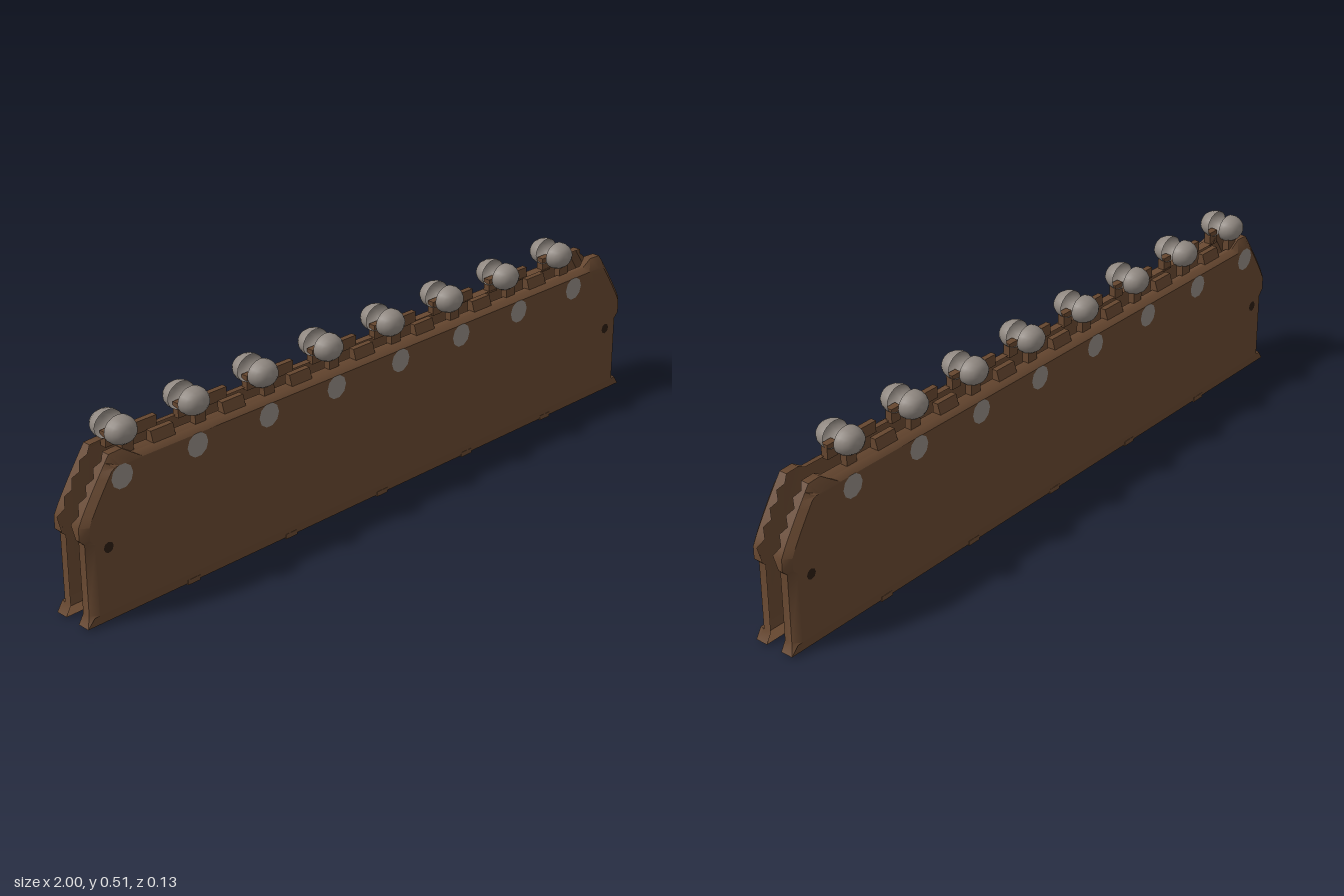
import * as THREE from 'three';
import { toCreasedNormals } from 'three/addons/utils/BufferGeometryUtils.js';

const mat = (name, color) =>
  new THREE.MeshStandardMaterial({ name, color, side: THREE.DoubleSide });

// Outline of one panel, counterclockwise, with stepped sloping shoulders
function panelOutline() {
  const right = [[1, 0.004], [0.985, 0.03], [0.985, 0.225], [1, 0.24], [1, 0.275]];
  const steps = 8;
  for (let i = 1; i <= steps; i++) {
    const t = i / steps;
    right.push([1 - 0.1 * t, 0.275 + 0.16 * Math.pow(t, 0.9)]);
  }
  right.push([0.86, 0.437], [0.83, 0.418]);
  return right.concat(right.map(([x, y]) => [-x, y]).reverse());
}

// Open shell: flat face, bevelled edge and a rim folded inward with a ragged lip
function shellGeometry() {
  const outline = panelOutline();
  const n = outline.length;
  const face = outline.map(([x, y]) =>
    [x - Math.sign(x) * 0.02, THREE.MathUtils.clamp(y, 0.03, 0.405), 0.063]);
  const edge = outline.map(([x, y]) => [x, y, y < 0.01 ? 0.06 : 0.047]);
  const lip = outline.map(([x, y], i) =>
    [x, y, y > 0.23 && y < 0.43 ? (i % 2 ? 0.018 : 0.034) : 0.024]);
  const pos = [];
  const join = (a, b) => {
    for (let i = 0; i < n; i++) {
      const j = (i + 1) % n;
      pos.push(...a[i], ...b[i], ...b[j], ...a[i], ...b[j], ...a[j]);
    }
  };
  join(face, edge);
  join(edge, lip);
  const pts = face.map(([x, y]) => new THREE.Vector2(x, y));
  for (const tri of THREE.ShapeUtils.triangulateShape(pts, []))
    for (const k of tri) pos.push(...face[k]);
  const g = new THREE.BufferGeometry();
  g.setAttribute('position', new THREE.Float32BufferAttribute(pos, 3));
  return toCreasedNormals(g, 0.7);
}

// Half knob: a rounded cap facing outward, open toward the centre
function knobGeometry() {
  const profile = [[0.043, 0.018], [0.043, 0.03], [0.039, 0.042], [0.031, 0.053],
    [0.018, 0.061], [0, 0.063]].map(([r, z]) => new THREE.Vector2(r, z));
  const g = new THREE.LatheGeometry(profile, 20);
  g.rotateX(Math.PI / 2);
  g.scale(1, 0.85, 1);
  return g;
}

export function createModel() {
  const model = new THREE.Group();
  model.name = 'studdedBarrier';
  const wood = mat('brownWood', 0x65462f);
  const metal = mat('greyMetal', 0x8f8780);
  const dark = mat('darkHole', 0x2a1b11);

  const shell = shellGeometry();
  const knob = knobGeometry();
  const neck = new THREE.BoxGeometry(0.034, 0.04, 0.02);
  const disc = new THREE.CircleGeometry(0.033, 10);
  const hole = new THREE.CircleGeometry(0.015, 8);
  const foot = new THREE.BoxGeometry(0.04, 0.014, 0.012);

  // Raised top block with a sloping outer face
  const block = new THREE.BoxGeometry(0.07, 0.032, 0.026);
  const p = block.attributes.position;
  for (let i = 0; i < p.count; i++)
    if (p.getZ(i) > 0 && p.getY(i) > 0) p.setZ(i, 0.003);
  block.computeVertexNormals();

  // Front and back panels; side = -1 turns the panel around
  for (const side of [1, -1]) {
    const half = new THREE.Group();
    half.name = side > 0 ? 'frontPanel' : 'backPanel';
    if (side < 0) half.rotation.y = Math.PI;
    const add = (name, geo, material, x, y, z) => {
      const m = new THREE.Mesh(geo, material);
      m.name = name;
      m.position.set(x * side, y, z);
      half.add(m);
    };
    add('panelShell', shell, wood, 0, 0, 0);
    for (let i = 0; i < 8; i++) {
      const x = -0.845 + i * 0.2265;
      add('knob', knob, metal, x, 0.474, 0);
      add('knobNeck', neck, wood, x + 0.008, 0.432, 0.032);
      add('rivetDisc', disc, metal, -0.875 + i * 0.235, 0.375, 0.0636);
      if (i < 7) add('topBlock', block, wood, x + 0.115, 0.43, 0.036);
    }
    for (const x of [-0.927, 0.923]) add('pegHole', hole, dark, x, 0.204, 0.0636);
    for (let i = -2; i <= 2; i++) add('foot', foot, wood, i / 3, 0.007, 0.056);
    model.add(half);
  }
  return model;
}
